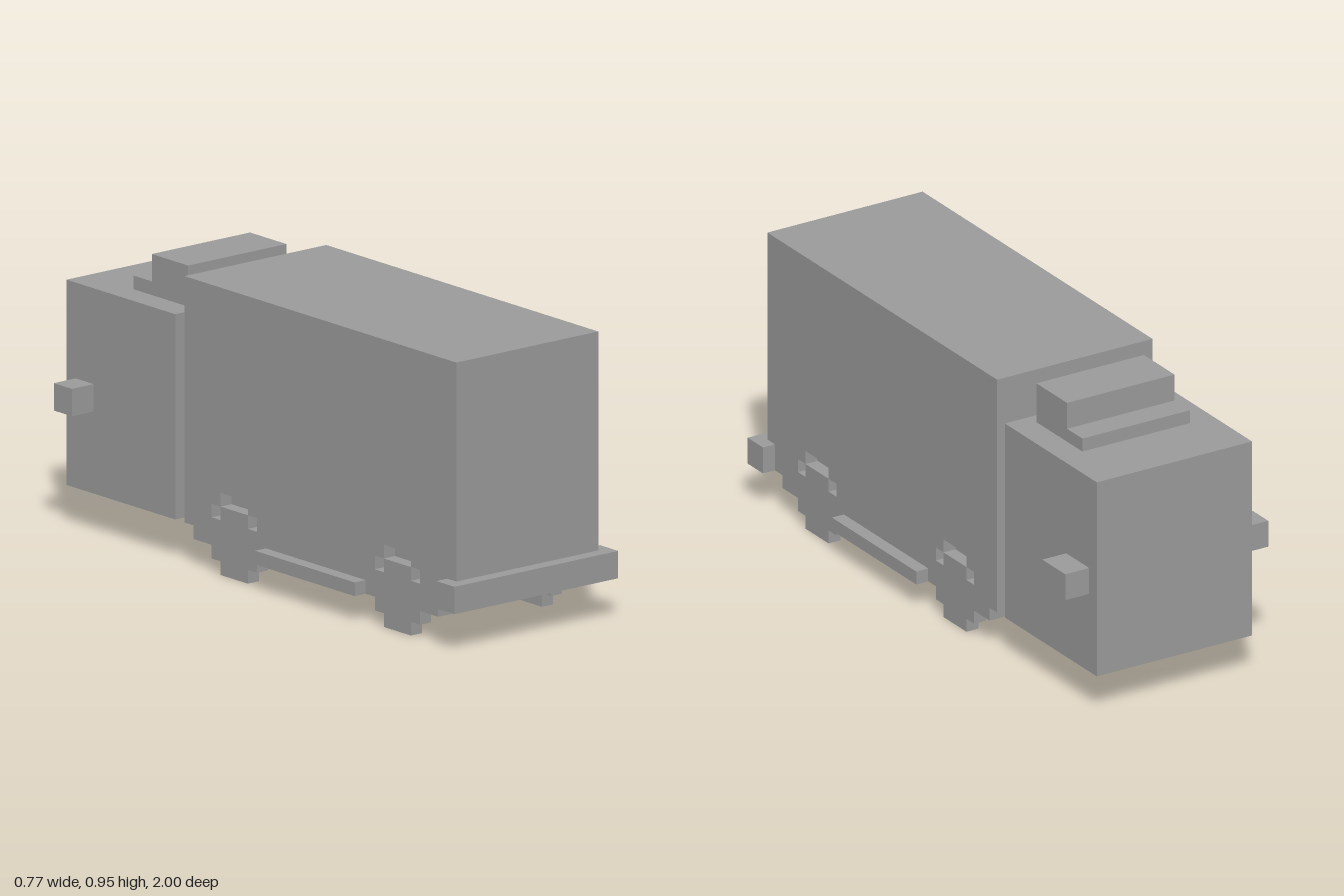
import * as THREE from 'three';

const U = 1 / 22; // one block
const material = new THREE.MeshStandardMaterial({ color: 0x9c9c9c, flatShading: true });

// Box between two corners, measured in blocks
function block(parent, name, [x0, x1], [y0, y1], [z0, z1]) {
  const mesh = new THREE.Mesh(
    new THREE.BoxGeometry((x1 - x0) * U, (y1 - y0) * U, (z1 - z0) * U), material);
  mesh.position.set((x0 + x1) / 2 * U, (y0 + y1) / 2 * U, (z0 + z1) / 2 * U);
  mesh.name = name;
  parent.add(mesh);
}

const wide = (half) => [-half, half];
const side = (s, a, b) => (s > 0 ? [a, b] : [-b, -a]);

export function createModel() {
  const truck = new THREE.Group();
  truck.name = 'truck';
  const add = (...args) => block(truck, ...args);

  // Long body: solid above and below the wheel arch gaps, narrower core between
  add('bodyUpper', wide(6.5), [6, 21], [-9, 21]);
  add('bodyCore', wide(5.5), [4, 6], [-9, 21]);
  add('bodySill', wide(6.5), [3, 4], [-9, 21]);
  add('chassis', wide(6.5), [2, 3], [-8, 19]);
  add('bumper', wide(7.5), [3, 5], [20, 22]);

  // Rear section, joint and roof unit
  add('joint', wide(5.5), [3, 17], [-10, -9]);
  add('cab', wide(6.5), [3, 18], [-22, -10]);
  add('roofUnit', wide(4.5), [18, 21], [-15, -11]);
  add('roofStep', wide(4.5), [18, 19], [-17, -15]);

  const wheelCentres = [-3.5, 14.5];
  // Side panel spans left around the arch gaps, per row
  const lowerRow = [[-9, -6], [-5, -2], [-1, 12], [13, 16], [17, 21]];
  const upperRow = [[-9, -5], [-2, 13], [16, 21]];

  for (const s of [1, -1]) {
    for (const span of lowerRow) add('sidePanel', side(s, 5.5, 6.5), [4, 5], span);
    for (const span of upperRow) add('sidePanel', side(s, 5.5, 6.5), [5, 6], span);

    // Stepped wheels below the chassis
    for (const c of wheelCentres) {
      add('wheelBottom', side(s, 5.5, 6.5), [0, 1], [c - 1.5, c + 1.5]);
      add('wheel', side(s, 5.5, 6.5), [1, 2], [c - 2.5, c + 2.5]);
    }
    add('sideRail', side(s, 6.5, 7.5), [2, 3], [0, 11]);
    // The left mirror is one block longer
    add('mirror', side(s, 6.5, 8.5), [9, 11], [-21, s > 0 ? -18 : -19]);
  }
  return truck;
}
